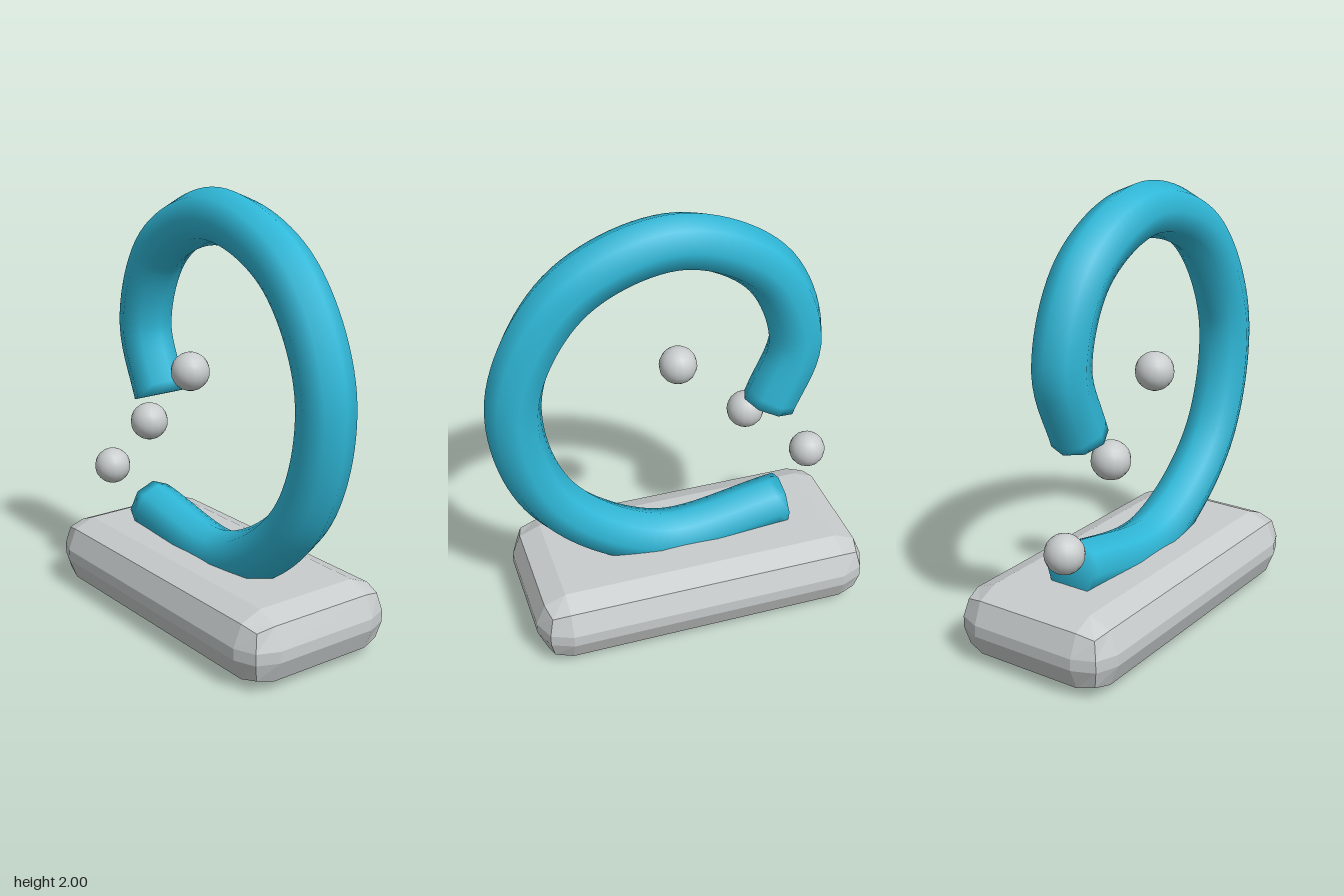
import * as THREE from 'three';
import { mergeVertices } from 'three/addons/utils/BufferGeometryUtils.js';
import { RoundedBoxGeometry } from 'three/addons/geometries/RoundedBoxGeometry.js';

const blue = new THREE.MeshStandardMaterial({ color: 0x2fb8d8 });
blue.name = 'bright blue';
const grey = new THREE.MeshStandardMaterial({ color: 0xc8cccc });
grey.name = 'light grey';

// Eight-sided tube with closed ends, shaded smoothly all over
function cappedTube(curve, segments, radius, sides) {
  const tube = new THREE.TubeGeometry(curve, segments, radius, sides, false);
  const positions = Array.from(tube.attributes.position.array);
  const index = Array.from(tube.index.array);
  for (const end of [0, 1]) {
    const centre = positions.length / 3;
    positions.push(...curve.getPointAt(end).toArray());
    const ring = end * segments * (sides + 1);
    for (let i = 0; i < sides; i++) {
      const a = ring + i, b = ring + i + 1;
      if (end) index.push(centre, b, a);
      else index.push(centre, a, b);
    }
  }
  let geometry = new THREE.BufferGeometry();
  geometry.setAttribute('position', new THREE.Float32BufferAttribute(positions, 3));
  geometry.setIndex(index);
  geometry = mergeVertices(geometry, 1e-4);
  geometry.computeVertexNormals();
  // Make sure the winding faces outwards
  const p = geometry.attributes.position, idx = geometry.index.array;
  let volume = 0;
  const [a, b, c] = [new THREE.Vector3(), new THREE.Vector3(), new THREE.Vector3()];
  for (let i = 0; i < idx.length; i += 3) {
    a.fromBufferAttribute(p, idx[i]);
    b.fromBufferAttribute(p, idx[i + 1]);
    c.fromBufferAttribute(p, idx[i + 2]);
    volume += a.dot(b.cross(c));
  }
  if (volume < 0) throw new Error('tube is inside out');
  return geometry;
}

export function createModel() {
  const group = new THREE.Group();
  const add = (name, geometry, material, x, y, z) => {
    const mesh = new THREE.Mesh(geometry, material);
    mesh.name = name;
    mesh.position.set(x, y, z);
    group.add(mesh);
  };

  // Faceted plinth with bevelled edges
  const base = new RoundedBoxGeometry(1.6, 0.333, 0.79, 1, 0.14);
  base.computeVertexNormals();
  add('base', base, grey, -0.055, 0.1665, 0);

  // Open spiral ring, tightening from its foot to its free end
  const radii = [0.933, 0.881, 0.83, 0.779, 0.73, 0.677, 0.603, 0.522, 0.452];
  const points = radii.map((r, i) => {
    const angle = THREE.MathUtils.degToRad(-121 + (330 * i) / (radii.length - 1));
    return new THREE.Vector3(r * Math.cos(angle), r * Math.sin(angle), 0);
  });
  const spiral = new THREE.CatmullRomCurve3(points);
  add('spiralRing', cappedTube(spiral, 96, 0.125, 8), blue, -0.06, 1.2, 0.02);

  // Diagonal row of balls
  const ball = new THREE.SphereGeometry(0.087, 16, 12);
  for (let i = 0; i < 3; i++) {
    add(`ball${i + 1}`, ball, grey, -0.055 - 0.331 * i, 1.195 - 0.309 * i, 0.13);
  }
  return group;
}
